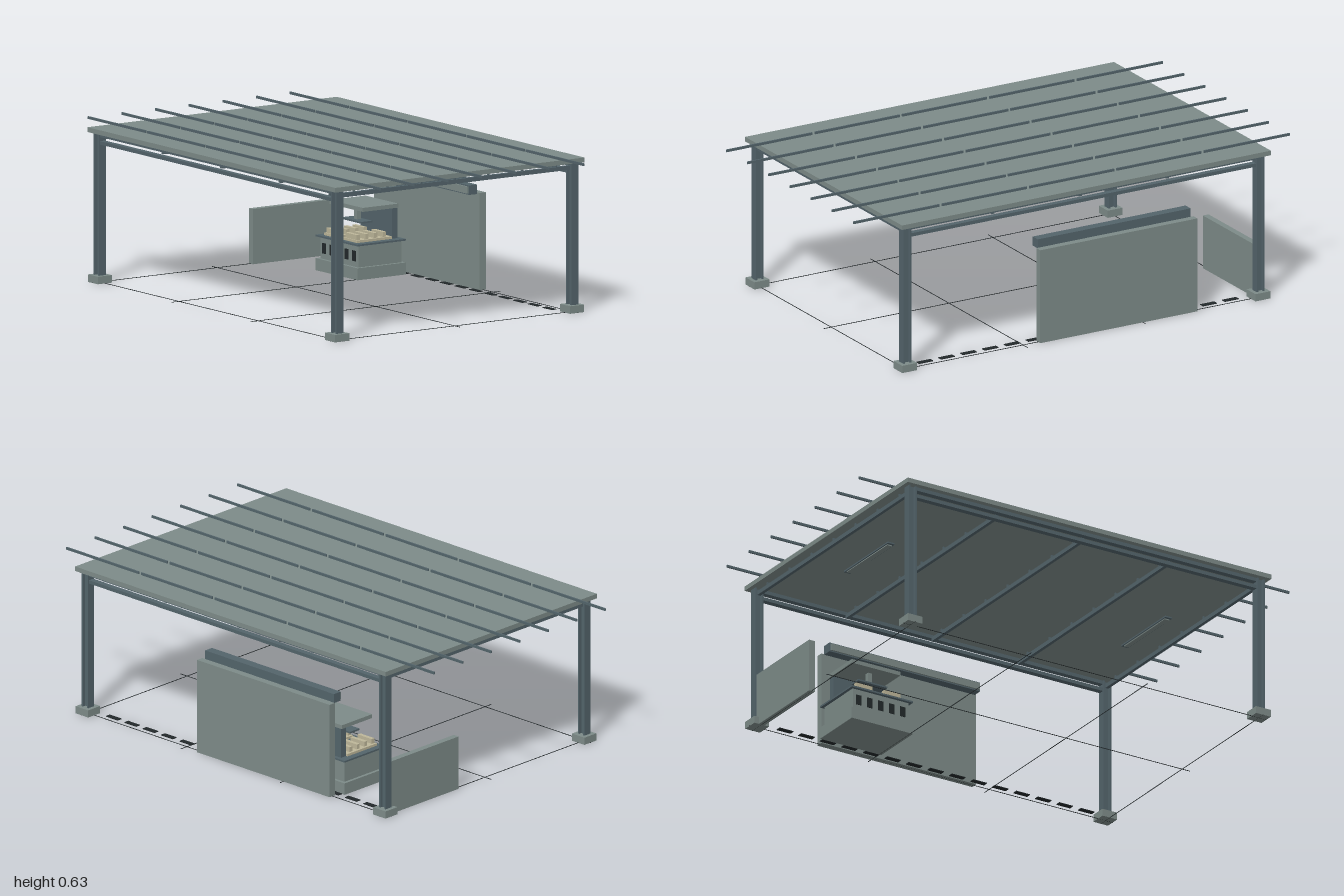
import * as THREE from 'three';

const mat = (name, color) => {
  const m = new THREE.MeshStandardMaterial({ color });
  m.name = name;
  return m;
};

export function createModel() {
  const model = new THREE.Group();
  model.name = 'openShelter';
  const panel = mat('greyGreenPanel', 0x7d8b88);
  const steel = mat('slateSteel', 0x53646b);
  const dark = mat('nearBlack', 0x22282a);
  const beige = mat('paleBeige', 0xbdb699);

  // Box given by its limits on each axis
  const box = (name, m, x0, x1, y0, y1, z0, z1, parent = model) => {
    const mesh = new THREE.Mesh(new THREE.BoxGeometry(x1 - x0, y1 - y0, z1 - z0), m);
    mesh.position.set((x0 + x1) / 2, (y0 + y1) / 2, (z0 + z1) / 2);
    mesh.name = name;
    parent.add(mesh);
    return mesh;
  };
  const group = (name) => {
    const g = new THREE.Group();
    g.name = name;
    model.add(g);
    return g;
  };

  // H-section columns on square footings
  for (const sx of [-1, 1]) for (const sz of [-1, 1]) {
    const column = group('column');
    column.position.set(sx * 0.565, 0, sz * 0.809);
    box('footing', panel, -0.034, 0.034, 0, 0.03, -0.034, 0.034, column);
    box('columnWeb', steel, -0.004, 0.004, 0.03, 0.598, -0.012, 0.012, column);
    for (const z of [-0.018, 0.011]) {
      box('columnFlange', steel, -0.017, 0.017, 0.03, 0.598, z, z + 0.007, column);
    }
  }

  // Roof slab
  box('roof', panel, -0.6, 0.6, 0.598, 0.617, -0.845, 0.845);

  // Segmented seam rods running over the roof
  const seams = group('roofSeams');
  const seamX = [-3, -2, -1, 0, 1, 2, 3].map((i) => i * 0.162);
  for (const x of seamX) {
    for (let i = -2; i <= 2; i++) {
      const z0 = i === -2 ? -1 : i * 0.4 - 0.194;
      const z1 = i === 2 ? 1 : i * 0.4 + 0.194;
      box('seamRod', steel, x - 0.003, x + 0.003, 0.617, 0.627, z0, z1, seams);
    }
  }

  // Roof frame: double side rails, cross beams and clips
  const frame = group('roofFrame');
  for (const x of [-0.565, 0.565]) {
    box('upperRail', steel, x - 0.012, x + 0.012, 0.583, 0.598, -0.792, 0.792, frame);
    box('lowerRail', steel, x - 0.012, x + 0.012, 0.553, 0.567, -0.792, 0.792, frame);
  }
  for (const z of [-0.809, -0.4, 0, 0.4, 0.809]) {
    box('crossBeam', steel, -0.553, 0.553, 0.569, 0.586, z - 0.007, z + 0.007, frame);
    for (const x of seamX) {
      box('beamClip', steel, x - 0.003, x + 0.003, 0.586, 0.598, z - 0.005, z + 0.005, frame);
    }
  }

  // Strip lights at both ends
  for (const z of [-0.645, 0.645]) {
    box('lightHousing', steel, -0.162, 0.162, 0.552, 0.558, z - 0.016, z + 0.016);
    box('lightDiffuser', panel, -0.15, 0.15, 0.548, 0.552, z - 0.011, z + 0.011);
  }

  // Side wall with its inner rail box, and the low rear wall
  box('sideWall', panel, 0.55, 0.58, 0, 0.388, -0.52, 0.2);
  box('shutterBox', steel, 0.506, 0.545, 0.383, 0.421, -0.51, 0.19);
  box('shutterLip', panel, 0.5, 0.506, 0.388, 0.416, -0.505, 0.185);
  box('rearLowWall', panel, 0.162, 0.56, 0, 0.22, -0.822, -0.796);

  // Counter
  const counter = group('counter');
  box('plinth', panel, 0.287, 0.52, 0, 0.048, -0.545, -0.26, counter);
  box('counterBody', panel, 0.3, 0.507, 0.048, 0.135, -0.532, -0.273, counter);
  box('counterTop', steel, 0.287, 0.52, 0.135, 0.142, -0.545, -0.26, counter);
  for (let i = 0; i < 5; i++) {
    const z = -0.505 + i * 0.051;
    box('ventSlot', dark, 0.298, 0.301, 0.07, 0.112, z - 0.012, z + 0.012, counter);
  }

  // Trays with small upright goods
  for (const z of [-0.47, -0.34]) {
    box('tray', beige, 0.308, 0.475, 0.142, 0.152, z - 0.048, z + 0.048, counter);
    for (let i = 0; i < 4; i++) {
      const x = 0.32 + i * 0.042;
      box('goods', beige, x - 0.008, x + 0.008, 0.152, 0.172, z - 0.038, z + 0.038, counter);
    }
  }

  // Back board, canopy and hanging lamp
  box('backBoard', steel, 0.477, 0.503, 0.142, 0.274, -0.51, -0.295, counter);
  box('canopy', panel, 0.333, 0.505, 0.264, 0.28, -0.515, -0.29, counter);
  box('lampStem', panel, 0.378, 0.397, 0.215, 0.264, -0.412, -0.393, counter);
  box('lampPlate', steel, 0.358, 0.411, 0.208, 0.215, -0.47, -0.335, counter);

  // Floor joints and dashed guide line
  const floor = group('floorMarks');
  for (const x of [-0.565, 0, 0.565]) {
    box('floorJoint', dark, x - 0.001, x + 0.001, 0, 0.002, -0.845, 0.845, floor);
  }
  for (const z of [-0.81, -0.27, 0.27, 0.81]) {
    box('floorJoint', dark, -0.6, 0.6, 0, 0.002, z - 0.001, z + 0.001, floor);
  }
  for (let i = 0; i < 15; i++) {
    const z = -0.7 + i * 0.1;
    box('guideDash', dark, 0.521, 0.543, 0, 0.003, z - 0.032, z + 0.032, floor);
  }
  return model;
}
